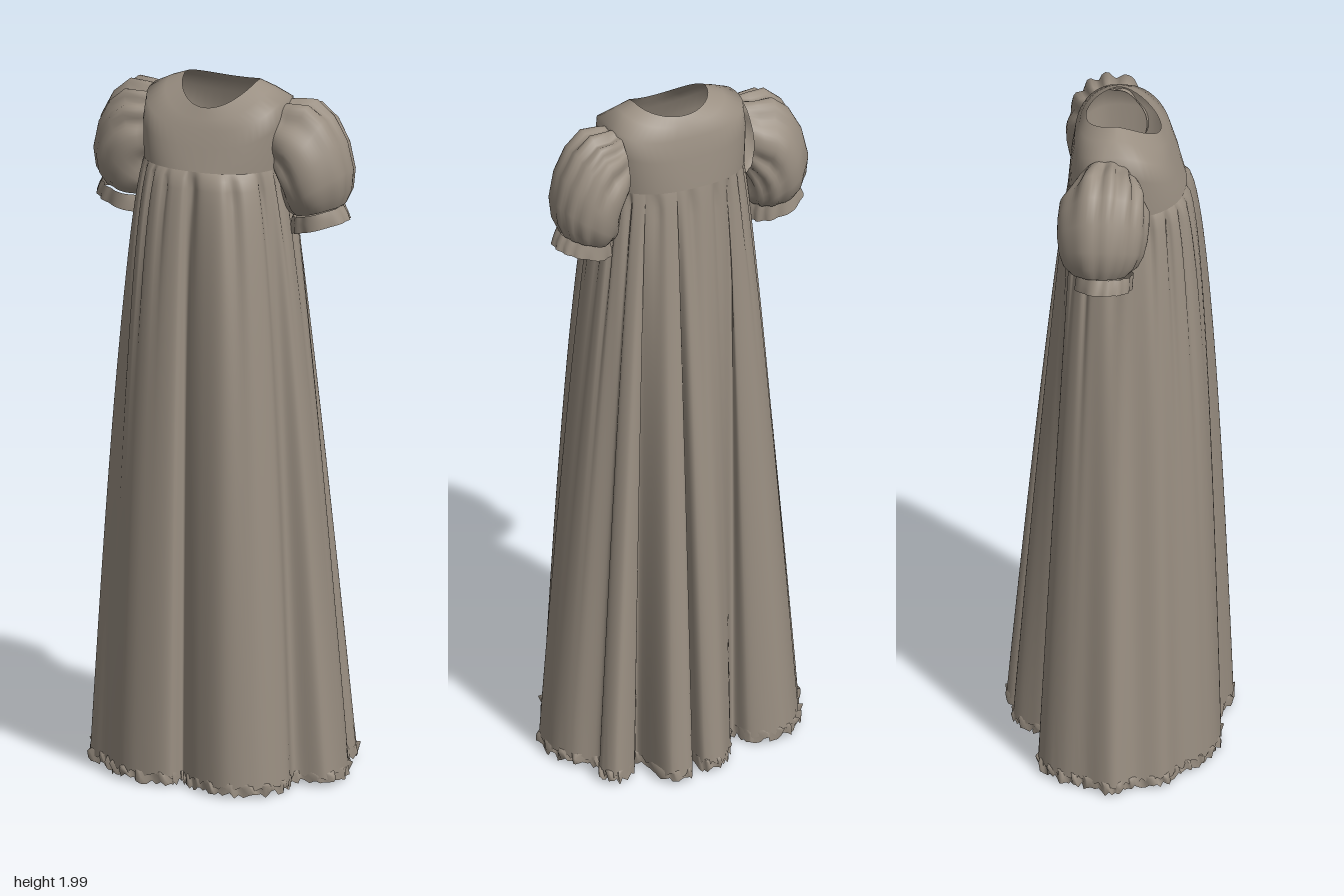
import * as THREE from 'three';

const cloth = new THREE.MeshStandardMaterial({ color: 0x9a8f82, side: THREE.DoubleSide });
cloth.name = 'taupe cloth';

// Joins closed rings of points, listed from top to bottom, into a smooth surface
function loft(name, rings, flip = false) {
  const n = rings[0].length, pos = [], index = [];
  rings.forEach(r => r.forEach(p => pos.push(p.x, p.y, p.z)));
  for (let i = 0; i < rings.length - 1; i++) {
    for (let j = 0; j < n; j++) {
      const a = i * n + j, b = i * n + (j + 1) % n, c = a + n, d = b + n;
      if (flip) index.push(a, c, b, b, c, d);
      else index.push(a, b, c, b, d, c);
    }
  }
  const g = new THREE.BufferGeometry();
  g.setAttribute('position', new THREE.Float32BufferAttribute(pos, 3));
  g.setIndex(index);
  g.computeVertexNormals();
  const mesh = new THREE.Mesh(g, cloth);
  mesh.name = name;
  return mesh;
}

const lerp = THREE.MathUtils.lerp;
const soft = (v, e) => Math.sign(v) * Math.pow(Math.abs(v), e);

// Body outline: rounded oval with separate front and back depths
function bodyPoint(a, rx, front, back, e = 0.85) {
  const c = soft(Math.cos(a), e), s = soft(Math.sin(a), e);
  return new THREE.Vector3(rx * c, 0, s > 0 ? s * front : -s * back);
}

// Seeded noise for the frayed edges
function makeRandom(seed) {
  return () => {
    seed = (seed * 16807) % 2147483647;
    return seed / 2147483647;
  };
}

function bodice() {
  // half width, front z, back z, side y, front y, back y, roundness
  const rows = [
    [0.110, 0.118, -0.090, 1.998, 1.935, 1.972, 1],
    [0.155, 0.135, -0.108, 1.980, 1.905, 1.950, 0.85],
    [0.203, 0.148, -0.122, 1.955, 1.880, 1.915, 0.68],
    [0.208, 0.168, -0.132, 1.890, 1.830, 1.855, 0.72],
    [0.205, 0.190, -0.140, 1.765, 1.768, 1.765, 0.85],
  ];
  const n = 48;
  return loft('bodice', rows.map(([rx, f, b, ys, yf, yb, e], i) =>
    Array.from({ length: n }, (_, j) => {
      const a = j / n * Math.PI * 2, s = Math.sin(a);
      const p = bodyPoint(a, rx, f, b, e);
      p.x += 0.01 * (1 - i / 4);
      p.y = lerp(ys, s > 0 ? yf : yb, Math.pow(Math.abs(s), 1.5));
      return p;
    })));
}

// Plan of the hem, from the left side round the front: x, z
const hemPlan = [
  [0.385, 0], [0.37, 0.09], [0.285, 0.11], [0.30, 0.19], [0.26, 0.27], [0.17, 0.312], [0.08, 0.29],
  [0.02, 0.255], [0, 0.235], [-0.02, 0.28], [-0.13, 0.28], [-0.21, 0.24], [-0.26, 0.185], [-0.33, 0.14],
  [-0.345, 0.06], [-0.385, 0], [-0.345, -0.08], [-0.32, -0.14], [-0.27, -0.195], [-0.22, -0.213],
  [-0.14, -0.19], [-0.115, -0.14], [-0.06, -0.23], [0, -0.292], [0.05, -0.28], [0.055, -0.17],
  [0.10, -0.31], [0.165, -0.305], [0.195, -0.155], [0.23, -0.21], [0.30, -0.24], [0.325, -0.19],
  [0.30, -0.14], [0.36, -0.08],
];

function skirt() {
  const group = new THREE.Group();
  group.name = 'skirt';
  const curve = new THREE.CatmullRomCurve3(hemPlan.map(([x, z]) => new THREE.Vector3(x, 0, z)), true);
  const n = 272, rows = 26, top = 1.768, bottom = 0.035;
  const rnd = makeRandom(71);
  const fray = Array.from({ length: n }, () => rnd());
  const rings = [];
  for (let i = 0; i <= rows; i++) {
    const s = Math.pow(i / rows, 1.4);
    const ring = [];
    for (let j = 0; j < n; j++) {
      const hem = curve.getPoint(j / n);
      const a = Math.atan2(hem.z / 0.3, hem.x / 0.385);
      const p = bodyPoint(a, 0.203, 0.187, -0.139);
      const k = Math.pow(s, 0.85 - 0.44 * Math.max(0, Math.sin(a)));
      p.lerp(hem, k);
      // narrow gathers of uneven length that fade out below the waist seam
      const gather = Math.pow(Math.abs(Math.cos(a * 9 + 1.2 * Math.sin(a * 3))), 10);
      const fade = Math.min(1, s * 40) * Math.exp(-s * (7 + 3 * Math.sin(a * 5)));
      const shrink = 1 - 0.08 * gather * fade;
      p.x *= shrink;
      p.z *= shrink;
      p.y = lerp(top, bottom, s);
      if (i === rows) p.y += (fray[j] - 0.5) * 0.02;
      ring.push(p);
    }
    rings.push(ring);
  }
  group.add(loft('skirtPanels', rings));

  // Frayed frill curling out along the hem
  const last = rings[rows];
  const frill = [0, 1, 2].map(r => last.map((p, j) => {
    const q = p.clone();
    const out = r === 0 ? 0.99 : 1 + (r === 1 ? 0.03 : 0.01) * Math.sin(j * 1.3) + (rnd() - 0.5) * 0.03;
    q.x = THREE.MathUtils.clamp(q.x * out, -0.392, 0.392);
    q.z = THREE.MathUtils.clamp(q.z * out, -0.32, 0.315);
    q.y = [0.05, 0.033, 0.008][r] + (r ? rnd() * 0.018 : 0);
    return q;
  }));
  group.add(loft('hemFrill', frill));
  return group;
}

// Sleeve sections: outer x, y, inner x, y, half depth, gather strength
const puffRows = [
  [0.195, 1.945, 0.190, 1.720, 0.095, 0.03],
  [0.230, 1.950, 0.200, 1.695, 0.112, 0.15],
  [0.280, 1.952, 0.203, 1.675, 0.126, 0.13],
  [0.330, 1.910, 0.205, 1.660, 0.128, 0.07],
  [0.368, 1.840, 0.205, 1.650, 0.126, 0.03],
  [0.388, 1.760, 0.206, 1.640, 0.118, 0.04],
  [0.384, 1.700, 0.212, 1.630, 0.104, 0.08],
  [0.365, 1.658, 0.222, 1.620, 0.080, 0.07],
];
const cuffRows = [
  [0.365, 1.658, 0.222, 1.620, 0.080, 0.07],
  [0.376, 1.638, 0.215, 1.597, 0.080, 0.04],
  [0.385, 1.617, 0.212, 1.568, 0.081, 0.08],
];

function sleevePart(name, rows, side) {
  const n = 72;
  return loft(name, rows.map(([ox, oy, ix, iy, rz, g], i) =>
    Array.from({ length: n }, (_, j) => {
      const t = j / n * Math.PI * 2;
      // sharp, unevenly spaced gathers
      const fold = Math.pow(Math.abs(Math.sin(t * 5 + 1.3 * Math.sin(t * 2 + side))), 3);
      const r = 1 - g * fold;
      const c = Math.cos(t) * r / 2;
      return new THREE.Vector3(
        side * ((ox + ix) / 2 + c * (ox - ix)),
        (oy + iy) / 2 + c * (oy - iy),
        -0.024 - 0.002 * i + Math.sin(t) * rz * r);
    })), side < 0);
}

export function createModel() {
  const dress = new THREE.Group();
  dress.name = 'dress';
  dress.add(bodice(), skirt());
  for (const side of [1, -1]) {
    const sleeve = new THREE.Group();
    sleeve.name = side > 0 ? 'leftSleeve' : 'rightSleeve';
    sleeve.add(sleevePart('puff', puffRows, side), sleevePart('cuff', cuffRows, side));
    dress.add(sleeve);
  }
  return dress;
}
